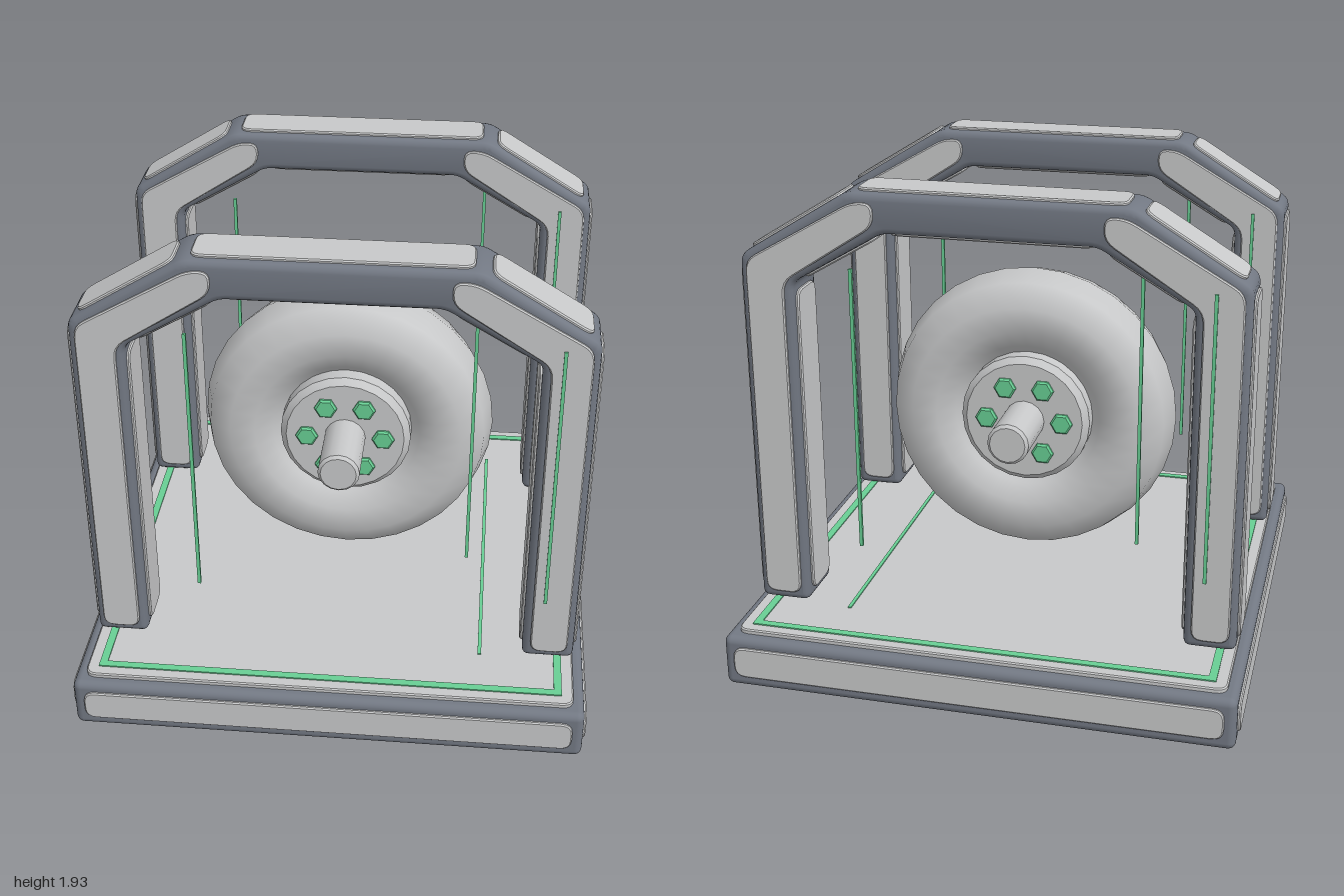
import * as THREE from 'three';
import { toCreasedNormals } from 'three/addons/utils/BufferGeometryUtils.js';
import { RoundedBoxGeometry } from 'three/addons/geometries/RoundedBoxGeometry.js';

const material = (name, color) => Object.assign(new THREE.MeshStandardMaterial({ color }), { name });
const frameGrey = material('frameGrey', 0x737984);
const panelGrey = material('panelGrey', 0xc8c9ca);
const lightGreen = material('lightGreen', 0x68cf94);

const V = (x, y, z) => new THREE.Vector3(x, y, z);

function add(parent, name, geometry, mat, x = 0, y = 0, z = 0) {
  const mesh = new THREE.Mesh(geometry, mat);
  mesh.name = name;
  mesh.position.set(x, y, z);
  parent.add(mesh);
  return mesh;
}

const box = (parent, name, mat, w, h, d, x, y, z) =>
  add(parent, name, new THREE.BoxGeometry(w, h, d), mat, x, y, z);

// Polygon with rounded corners
function roundedShape(points, radius) {
  const shape = new THREE.Shape();
  const p = points.map(([x, y]) => new THREE.Vector2(x, y));
  p.forEach((c, i) => {
    const prev = p[(i + p.length - 1) % p.length], next = p[(i + 1) % p.length];
    const toward = (q) => c.clone().add(q.clone().sub(c).setLength(Math.min(radius, q.distanceTo(c) * 0.45)));
    const a = toward(prev), b = toward(next);
    if (i === 0) shape.moveTo(a.x, a.y); else shape.lineTo(a.x, a.y);
    shape.quadraticCurveTo(c.x, c.y, b.x, b.y);
  });
  shape.closePath();
  return shape;
}

// Bevelled slab, centred on z = 0
function slab(points, radius, thickness, bevel, segments) {
  const g = new THREE.ExtrudeGeometry(roundedShape(points, radius), {
    depth: thickness - 2 * bevel, curveSegments: 4, bevelEnabled: true,
    bevelThickness: bevel, bevelSize: bevel, bevelOffset: -bevel, bevelSegments: segments,
  });
  g.translate(0, 0, bevel - thickness / 2);
  return toCreasedNormals(g, 0.6);
}

// Rounded rectangular panel facing along a normal, its width along a tangent
function panel(parent, name, center, tangent, normal, w, h, out = 0.011) {
  const x = w / 2, y = h / 2;
  const g = slab([[-x, -y], [x, -y], [x, y], [-x, y]], 0.045, out * 2, 0.005, 1);
  g.applyMatrix4(new THREE.Matrix4().makeBasis(tangent, normal.clone().cross(tangent), normal));
  return add(parent, name, g, panelGrey, center.x, center.y, center.z);
}

function createBase() {
  const base = new THREE.Group();
  base.name = 'base';
  add(base, 'baseBlock', new RoundedBoxGeometry(1.976, 0.21, 1.976, 3, 0.03), frameGrey, 0, 0.115, 0);
  panel(base, 'floorPanel', V(0, 0.22, 0), V(1, 0, 0), V(0, 1, 0), 1.89, 1.89, 0.018);
  panel(base, 'undersidePanel', V(0, 0.011, 0), V(1, 0, 0), V(0, -1, 0), 1.9, 1.9);
  for (let i = 0; i < 4; i++) {
    const a = i * Math.PI / 2;
    const n = V(Math.sin(a), 0, Math.cos(a)), t = V(Math.cos(a), 0, -Math.sin(a));
    panel(base, 'edgePanel', n.clone().multiplyScalar(0.988).setY(0.12), t, n, 1.89, 0.125);
  }
  // Green floor border and line
  for (const s of [-1, 1]) {
    box(base, 'floorBorder', lightGreen, 1.8, 0.008, 0.03, 0, 0.239, s * 0.885);
    box(base, 'floorBorder', lightGreen, 0.03, 0.008, 1.74, s * 0.885, 0.239, 0);
  }
  box(base, 'floorLine', lightGreen, 0.014, 0.008, 1.38, 0.58, 0.239, 0);
  return base;
}

function createArch() {
  const arch = new THREE.Group();
  arch.name = 'arch';
  const outer = [[0.945, 0.25], [0.945, 1.66], [0.52, 1.92]];
  const inner = [[0.745, 0.25], [0.745, 1.565], [0.395, 1.77]];
  const flip = (pts) => pts.map(([x, y]) => [-x, y]);
  const outline = [...outer, ...flip(outer).reverse(), ...flip(inner), ...[...inner].reverse()];
  add(arch, 'archFrame', slab(outline, 0.03, 0.24, 0.025, 3), frameGrey);

  // Panels on the top bar
  panel(arch, 'topPanel', V(0, 1.92, 0), V(1, 0, 0), V(0, 1, 0), 0.99, 0.175);
  panel(arch, 'topInnerPanel', V(0, 1.77, 0), V(1, 0, 0), V(0, -1, 0), 0.76, 0.175);

  // Bent panels on the faces of leg and brace
  const bent = [[0.92, 0.285], [0.92, 1.645], [0.5, 1.885], [0.42, 1.885],
    [0.42, 1.8], [0.775, 1.57], [0.775, 0.285]];
  for (const s of [-1, 1]) {
    for (const side of [-1, 1])
      add(arch, 'legFacePanel', slab(s > 0 ? bent : flip(bent), 0.045, 0.022, 0.005, 1),
        panelGrey, 0, 0, side * 0.12);

    // Panels on the outer and inner edges of leg and brace
    [[outer, 1], [inner, -1]].forEach(([pts, dir]) => {
      for (let i = 0; i < 2; i++) {
        const a = V(s * pts[i][0], pts[i][1], 0), b = V(s * pts[i + 1][0], pts[i + 1][1], 0);
        const t = b.clone().sub(a).normalize();
        const n = V(t.y, -t.x, 0).multiplyScalar(s * dir);
        panel(arch, i ? 'bracePanel' : 'legPanel', a.clone().add(b).multiplyScalar(0.5), t, n,
          a.distanceTo(b) - 0.075, 0.175);
      }
    });
    panel(arch, 'footPanel', V(s * 0.845, 0.252, 0), V(1, 0, 0), V(0, -1, 0), 0.14, 0.175);
  }

  // Upright green light strips, two on each face
  [[-0.52, 1], [0.82, 1], [0.51, -1], [-0.82, -1]].forEach(([x, side]) =>
    box(arch, 'lightStrip', lightGreen, 0.013, 1.11, 0.012, x, 1.085, side * 0.132));
  return arch;
}

// Turned part with its axis along z
function turned(parent, name, profile, sides, crease, mat = panelGrey) {
  let g = new THREE.LatheGeometry(profile.map(([r, y]) => new THREE.Vector2(r, y)), sides);
  if (crease) g = toCreasedNormals(g, crease);
  g.rotateX(Math.PI / 2);
  return add(parent, name, g, mat);
}

// Solid disc or rod profile with bevelled ends
const rod = (r, half, bevel) => [[0, -half], [r - bevel, -half], [r, bevel - half],
  [r, half - bevel], [r - bevel, half], [0, half]];

function createWheel() {
  const wheel = new THREE.Group();
  wheel.name = 'wheel';
  wheel.position.set(-0.003, 0.89, 0);
  const half = [[0.24, 0.06], [0.3, 0.12], [0.37, 0.163], [0.47, 0.17], [0.56, 0.112], [0.592, 0]];
  const tyre = [...half.map(([r, y]) => [r, -y]), ...half.slice(0, -1).reverse()];
  turned(wheel, 'tyre', tyre, 32, 0);
  turned(wheel, 'hub', rod(0.265, 0.17, 0.025), 24, 0.5);
  turned(wheel, 'axle', rod(0.083, 0.44, 0.012), 16, 0.5);
  for (let i = 0; i < 6; i++) {
    const a = i * Math.PI / 3;
    const bolt = turned(wheel, 'bolt', rod(0.046, 0.186, 0.008), 6, 0.3, lightGreen);
    bolt.position.set(0.155 * Math.cos(a), 0.155 * Math.sin(a), 0);
    bolt.rotation.z = Math.PI / 6 * 3;
  }
  return wheel;
}

export function createModel() {
  const model = new THREE.Group();
  model.name = 'wheelTestStand';
  model.add(createBase());
  for (const s of [1, -1]) {
    const arch = createArch();
    arch.name = s > 0 ? 'frontArch' : 'backArch';
    arch.position.z = s * 0.575;
    model.add(arch);
  }
  model.add(createWheel());
  return model;
}
